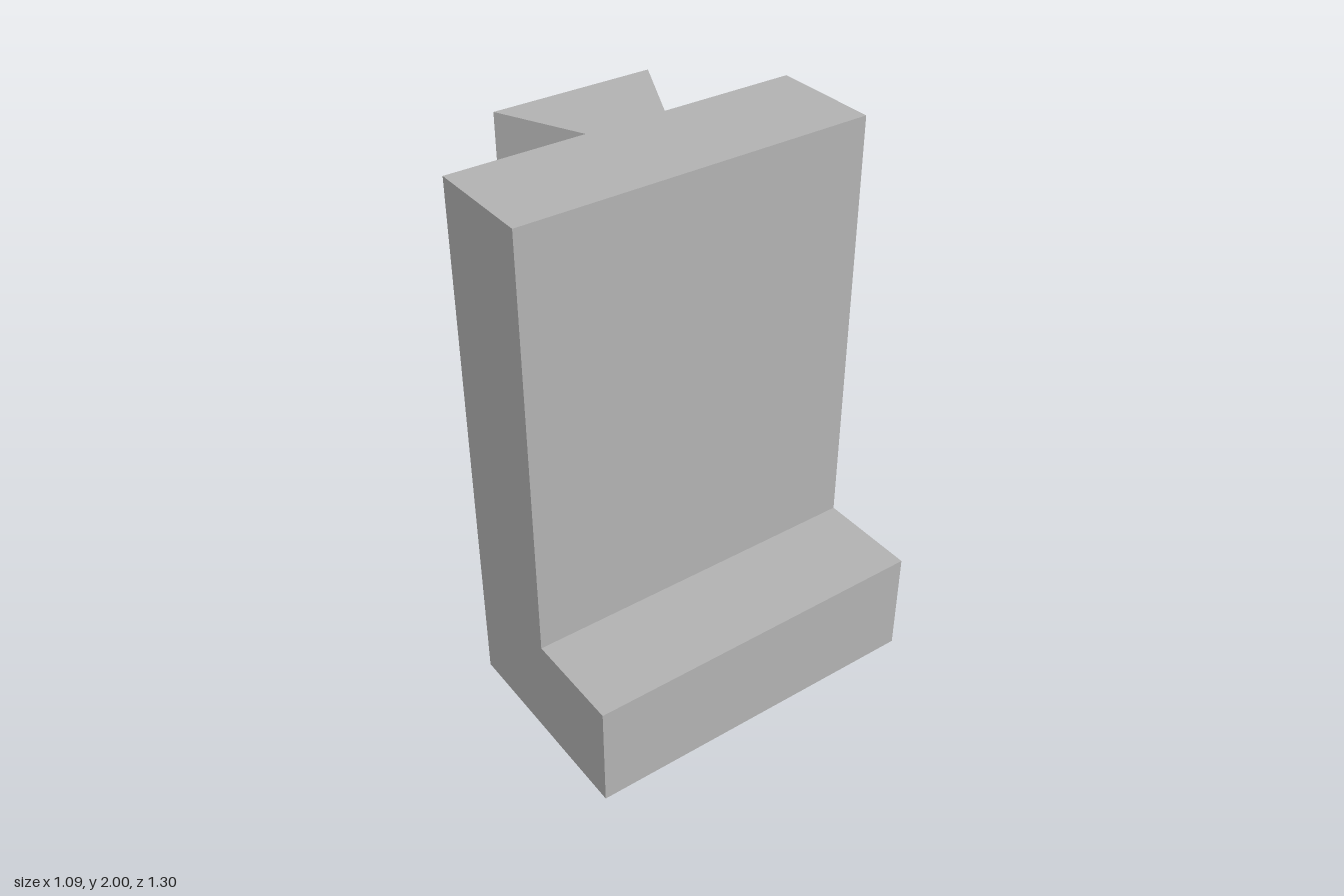
import * as THREE from 'three';

// Closed outline from a list of [x, y] corners
function outline(points) {
  return new THREE.Shape(points.map(([x, y]) => new THREE.Vector2(x, y)));
}

function prism(points, depth) {
  return new THREE.ExtrudeGeometry(outline(points), { depth, bevelEnabled: false });
}

export function createModel() {
  const model = new THREE.Group();
  model.name = 'dovetailJaw';
  const grey = new THREE.MeshStandardMaterial({ color: 0xb2b2b2 });
  grey.name = 'plainGrey';

  const back = -0.235, tail = -0.545, width = 1.3, top = 2, tailBase = 0.2;

  // L-shaped body: upright wall with a foot ledge towards +x
  const bodyGeometry = prism(
    [[back, 0], [0.542, 0], [0.542, 0.4], [0.165, 0.4], [0.165, top], [back, top]], width);
  bodyGeometry.translate(0, 0, -width / 2);
  const body = new THREE.Mesh(bodyGeometry, grey);
  body.name = 'angleBody';

  // Dovetail rail, widening away from the wall and stopping above the base
  const railGeometry = prism(
    [[tail, -0.3], [back, -0.15], [back, 0.15], [tail, 0.3]], top - tailBase);
  railGeometry.rotateX(-Math.PI / 2);
  railGeometry.translate(0, tailBase, 0);
  const rail = new THREE.Mesh(railGeometry, grey);
  rail.name = 'dovetailRail';

  model.add(body, rail);
  return model;
}
